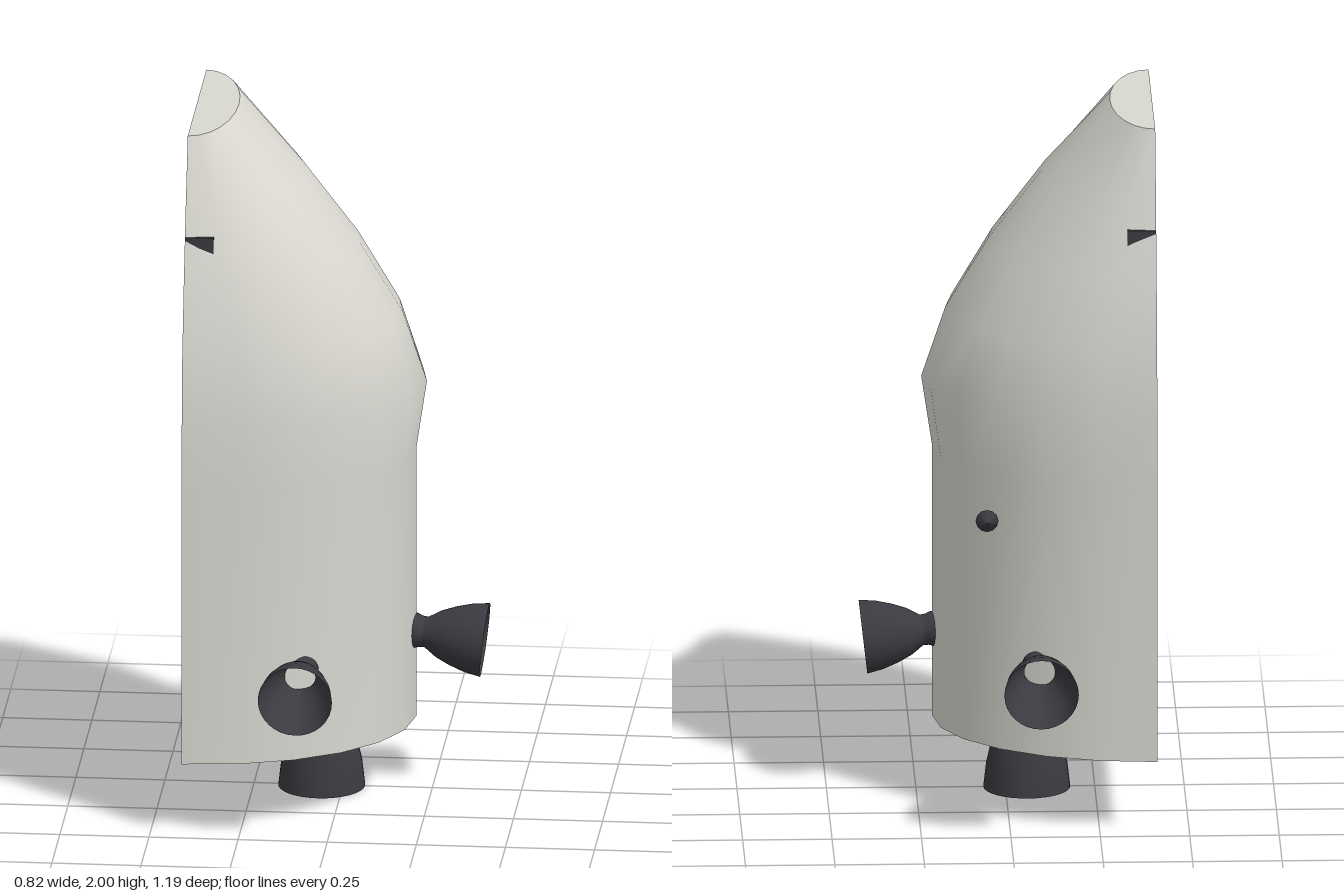
import * as THREE from 'three';

const mat = (name, color, side = THREE.FrontSide) => {
  const m = new THREE.MeshStandardMaterial({ color, side });
  m.name = name;
  return m;
};

export function createModel() {
  const model = new THREE.Group();
  const shellGrey = mat('shell grey', 0xd9d7d0, THREE.DoubleSide);
  const nozzleGrey = mat('nozzle grey', 0x3a3a40, THREE.DoubleSide);
  const panelDark = mat('panel dark', 0x29282e);
  const baseBlack = mat('base black', 0x222224, THREE.DoubleSide);

  const add = (parent, name, geometry, material) => {
    const mesh = new THREE.Mesh(geometry, material);
    mesh.name = name;
    parent.add(mesh);
    return mesh;
  };

  // Half-elliptical sections: height, depth in x, half width in z
  const BACK = -0.41, STEPS = 12;
  const sections = [
    [0.21, 0.615, 0.478], [1.0, 0.615, 0.478], [1.2, 0.645, 0.478], [1.4, 0.578, 0.462],
    [1.6, 0.458, 0.415], [1.8, 0.305, 0.357], [2.0, 0.118, 0.29],
  ];
  const pos = [], index = [];
  for (const [y, a, b] of sections) {
    for (let i = 0; i <= STEPS; i++) {
      const t = -Math.PI / 2 + (Math.PI * i) / STEPS;
      pos.push(BACK + a * Math.cos(t), y, b * Math.sin(t));
    }
  }
  const row = STEPS + 1;
  for (let j = 0; j < sections.length - 1; j++) {
    for (let i = 0; i < STEPS; i++) {
      const p = j * row + i, up = p + row;
      index.push(p, up, p + 1, up, up + 1, p + 1);
    }
  }
  const shell = new THREE.BufferGeometry();
  shell.setAttribute('position', new THREE.Float32BufferAttribute(pos, 3));
  shell.setIndex(index);
  shell.computeVertexNormals();
  add(model, 'shell', shell, shellGrey);

  // Caps closing the shell at top and bottom
  const cap = (name, [y, a, b], turn, material) => {
    const g = new THREE.CircleGeometry(1, STEPS, -Math.PI / 2, Math.PI);
    g.scale(a, b, 1);
    g.rotateX(turn);
    g.translate(BACK, y, 0);
    add(model, name, g, material);
  };
  cap('topCap', sections[sections.length - 1], -Math.PI / 2, shellGrey);
  cap('baseCap', sections[0], Math.PI / 2, baseBlack);

  // Slab filling the open back, dark on its outer (-x) face
  const slab = add(model, 'backPanel', new THREE.BoxGeometry(0.08, 1.51, 0.76),
    [nozzleGrey, panelDark, nozzleGrey, nozzleGrey, nozzleGrey, nozzleGrey]);
  slab.position.set(BACK + 0.04, 0.975, 0);

  // Open bell nozzle: throat at the origin, exit towards -y
  const L = 0.212;
  const bell = new THREE.LatheGeometry([
    [0.104, 0], [0.097, 0.045], [0.083, 0.09], [0.066, 0.13], [0.043, 0.165],
    [0.044, 0.18], [0.05, 0.196], [0.048, L],
  ].map(([r, d]) => new THREE.Vector2(r, d - L)), 32);

  const main = add(model, 'mainNozzle', bell, nozzleGrey);
  main.scale.set(1.17, 1.6, 1.17);
  main.position.set(-0.06, L * 1.6, 0);

  // Three side nozzles, tilted slightly down
  const sides = [
    ['leftNozzle', 0.187, 0, 0],
    ['frontNozzle', -0.083, 0.375, -Math.PI / 2],
    ['backNozzle', -0.083, -0.375, Math.PI / 2],
  ];
  for (const [name, x, z, turn] of sides) {
    const mount = new THREE.Group();
    mount.name = name;
    mount.position.set(x, 0.464, z);
    mount.rotation.y = turn;
    add(mount, 'bell', bell, nozzleGrey).rotation.z = THREE.MathUtils.degToRad(83.5);
    model.add(mount);
  }

  // Small probe sticking out of the shell towards -z
  const probe = new THREE.Group();
  probe.name = 'probe';
  probe.position.set(0.062, 0.88, -0.29);
  probe.rotation.x = -Math.PI / 2;
  const probeProfile = [[0, -0.03], [0.007, -0.03], [0.007, 0.045], [0.032, 0.063], [0, 0.085]]
    .map(([r, y]) => new THREE.Vector2(r, y));
  add(probe, 'probeBody', new THREE.LatheGeometry(probeProfile, 12), nozzleGrey);
  model.add(probe);

  return model;
}
